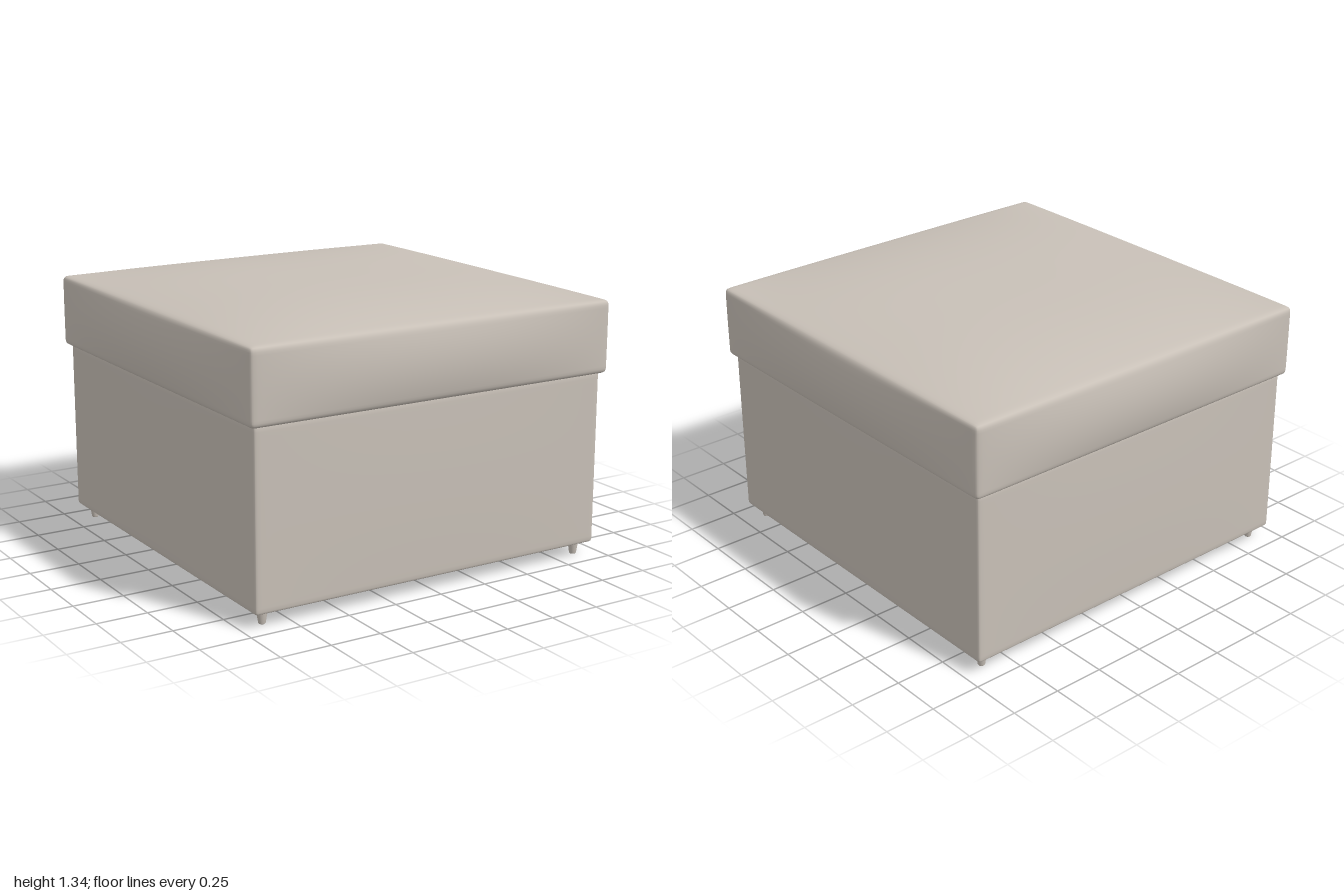
import * as THREE from 'three';
import { mergeVertices } from 'three/addons/utils/BufferGeometryUtils.js';

// Rounded box whose faces swell softly: side = sideways, up / down = vertical bulge
function paddedBox(width, yMin, yMax, radius, { side = 0, up = 0, down = 0 }) {
  const half = new THREE.Vector3(width / 2, (yMax - yMin) / 2, width / 2);
  const inner = half.clone().subScalar(radius);
  let geo = new THREE.BoxGeometry(2, 2, 2, 36, 24, 36);
  geo.deleteAttribute('uv');
  geo.deleteAttribute('normal');
  geo = mergeVertices(geo);
  const pos = geo.attributes.position;
  const p = new THREE.Vector3();
  const core = new THREE.Vector3();
  const dome = (t, power) => 1 - Math.min(1, Math.abs(t)) ** power;
  for (let i = 0; i < pos.count; i++) {
    // gather the grid lines near the edges, then round the edges
    p.fromBufferAttribute(pos, i);
    p.set(...p.toArray().map((t) => Math.sin((t * Math.PI) / 2))).multiply(half);
    core.copy(p).clamp(inner.clone().negate(), inner);
    p.sub(core).setLength(radius).add(core);
    // swell each face, fading out at its border
    const u = p.x / half.x, v = p.y / half.y, w = p.z / half.z;
    p.x += side * u * dome(v, 2) * dome(w, 2);
    p.z += side * w * dome(v, 2) * dome(u, 2);
    p.y += (v > 0 ? up : down) * v * dome(u, 3) * dome(w, 3);
    pos.setXYZ(i, p.x, p.y + (yMin + yMax) / 2, p.z);
  }
  geo.computeVertexNormals();
  return geo;
}

export function createModel() {
  const model = new THREE.Group();
  model.name = 'ottoman';
  const fabric = new THREE.MeshStandardMaterial({ color: 0xc8c0b7 });
  fabric.name = 'warm grey fabric';

  const add = (name, geometry) => {
    const mesh = new THREE.Mesh(geometry, fabric);
    mesh.name = name;
    model.add(mesh);
    return mesh;
  };

  // Upholstered box and padded lid
  add('base', paddedBox(1.89, 0.065, 0.925, 0.018, { side: 0.005, down: 0.008 }));
  add('cushion', paddedBox(1.945, 0.915, 1.27, 0.025, { side: 0.0275, up: 0.065 }));

  // Four small tapered feet
  const footProfile = [[0, 0], [0.014, 0], [0.017, 0.004], [0.026, 0.06], [0.026, 0.075], [0, 0.075]]
    .map(([x, y]) => new THREE.Vector2(x, y));
  for (const x of [-0.877, 0.877]) {
    for (const z of [-0.877, 0.877]) {
      add('foot', new THREE.LatheGeometry(footProfile, 20)).position.set(x, 0, z);
    }
  }
  return model;
}
